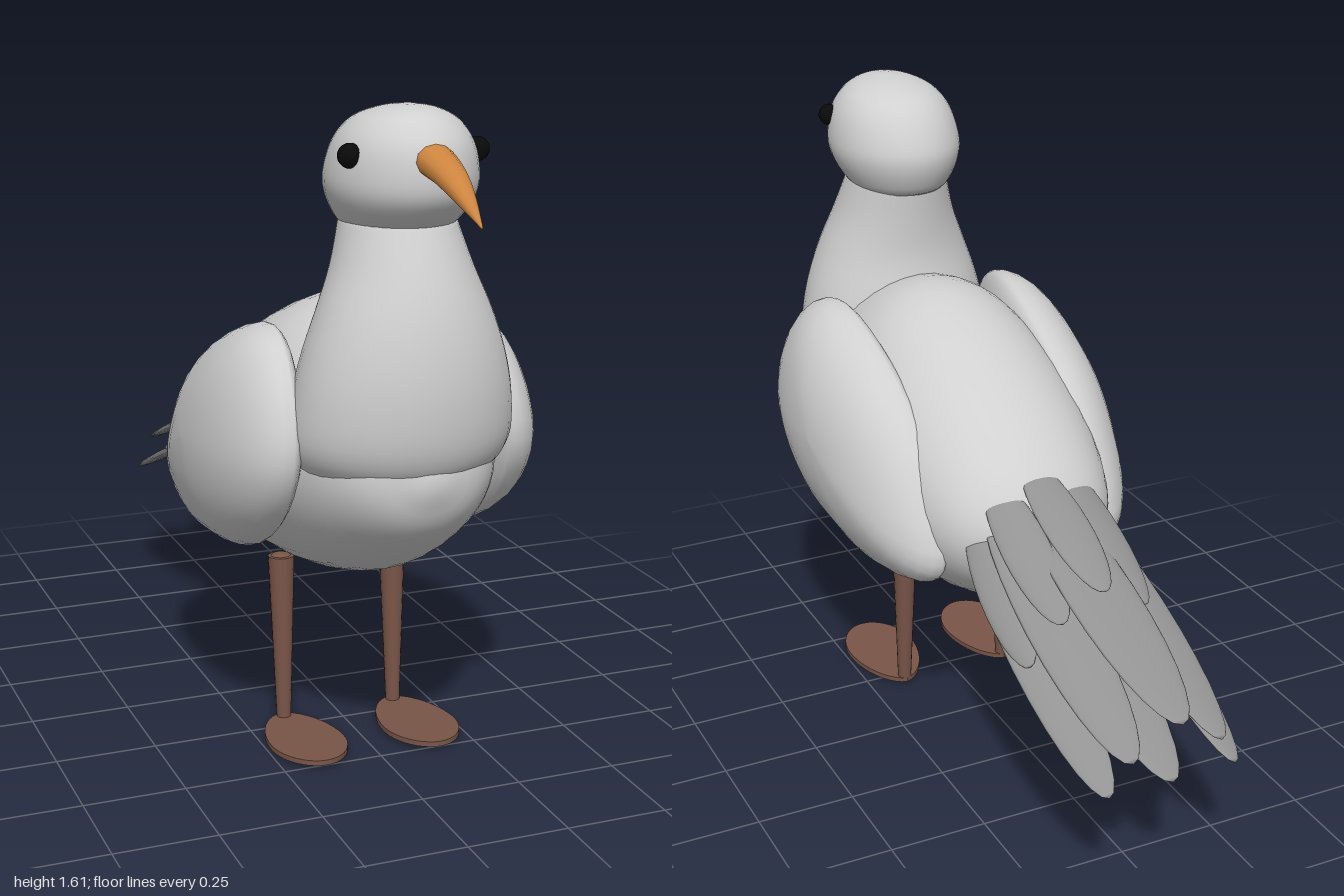
import * as THREE from 'three';

const mat = (name, color) => {
  const m = new THREE.MeshStandardMaterial({ color });
  m.name = name;
  return m;
};

// Smooth closed skin: fn(u, v) gives a point, v wraps around the ring
function skin(fn, nu, nv) {
  const pos = [], idx = [];
  for (let i = 0; i <= nu; i++) {
    for (let j = 0; j < nv; j++) pos.push(...fn(i / nu, j / nv));
  }
  for (let i = 0; i < nu; i++) {
    for (let j = 0; j < nv; j++) {
      const k = (j + 1) % nv;
      const a = i * nv + j, b = i * nv + k, c = a + nv, d = b + nv;
      idx.push(a, c, b, b, c, d);
    }
  }
  const g = new THREE.BufferGeometry();
  g.setAttribute('position', new THREE.Float32BufferAttribute(pos, 3));
  g.setIndex(idx);
  g.computeVertexNormals();
  return g;
}

// Elliptical loft along y or z. Rows, in descending order: [position, max, min, halfWidth],
// where max and min bound the section along the other upright axis.
function loft(axis, rows, nu = 28, nv = 32) {
  const spans = new THREE.CatmullRomCurve3(rows.map(r => new THREE.Vector3(r[0], r[1], r[2])), false, 'catmullrom');
  const widths = new THREE.CatmullRomCurve3(rows.map(r => new THREE.Vector3(r[3], 0, 0)), false, 'catmullrom');
  return skin((u, v) => {
    // The first and last rings collapse to a point to close the ends
    const cap = u === 0 || u === 1 ? 0 : 1;
    const t = Math.min(1, Math.max(0, (u * nu - 1) / (nu - 2)));
    const s = spans.getPoint(t), a = v * Math.PI * 2;
    const x = cap * Math.max(0, widths.getPoint(t).x) * Math.cos(a);
    const mid = (s.y + s.z) / 2, h = cap * (s.y - s.z) / 2 * Math.sin(a);
    return axis === 'z' ? [x, mid + h, s.x] : [x, s.x, mid - h];
  }, nu, nv);
}

// Domed wing over a side outline of [z, y] points
function wingGeometry() {
  const outline = new THREE.CatmullRomCurve3([
    [0.38, 1.08], [0.5, 1.05], [0.6, 0.94], [0.63, 0.8], [0.55, 0.66], [0.36, 0.535], [0.15, 0.49],
    [0, 0.48], [-0.19, 0.53], [-0.22, 0.6], [-0.13, 0.79], [0, 0.93], [0.2, 1.035],
  ].map(([z, y]) => new THREE.Vector3(0, y, z)), true);
  return skin((u, v) => {
    const phi = u * Math.PI, r = Math.sin(phi), c = Math.cos(phi);
    const p = outline.getPoint(v);
    const y = 0.78 + (p.y - 0.78) * r, z = 0.21 + (p.z - 0.21) * r;
    const base = 0.245 + (z - 0.2) * 0.07 - (y - 0.78) * 0.06;
    return [base + (c > 0 ? 0.165 : 0.07) * c, y, z];
  }, 20, 40);
}

export function createModel() {
  const group = new THREE.Group();
  const plumage = mat('plumage grey', 0xd0d0d0);
  const tailGrey = mat('tail grey', 0x939393);
  const orange = mat('beak orange', 0xcd853f);
  const brown = mat('leg brown', 0x795548);
  const black = mat('eye black', 0x0a0a0a);

  const add = (name, geometry, material, x = 0, y = 0, z = 0) => {
    const m = new THREE.Mesh(geometry, material);
    m.name = name;
    m.position.set(x, y, z);
    group.add(m);
    return m;
  };

  // Egg-shaped body
  add('body', loft('z', [
    [0.785, 0.8, 0.75, 0.03], [0.745, 0.91, 0.66, 0.14], [0.65, 1.0, 0.575, 0.215], [0.5, 1.08, 0.485, 0.265],
    [0.3, 1.125, 0.425, 0.29], [0.1, 1.07, 0.4, 0.3], [-0.1, 0.965, 0.41, 0.275], [-0.25, 0.855, 0.475, 0.22],
    [-0.33, 0.77, 0.56, 0.14], [-0.36, 0.7, 0.63, 0.05],
  ], 36, 40), plumage);

  // Neck and breast
  add('neck', loft('y', [
    [1.37, 0.7, 0.41, 0.125], [1.25, 0.755, 0.42, 0.16], [1.15, 0.79, 0.42, 0.2], [1.05, 0.81, 0.4, 0.235],
    [0.95, 0.815, 0.38, 0.257], [0.85, 0.803, 0.35, 0.265], [0.78, 0.765, 0.32, 0.24], [0.72, 0.68, 0.35, 0.17],
  ], 28, 40), plumage);

  // Head
  add('head', loft('y', [
    [1.608, 0.64, 0.6, 0.015], [1.597, 0.695, 0.53, 0.07], [1.57, 0.737, 0.455, 0.12], [1.52, 0.77, 0.405, 0.155],
    [1.45, 0.78, 0.372, 0.17], [1.4, 0.765, 0.372, 0.163], [1.35, 0.715, 0.392, 0.137], [1.33, 0.68, 0.41, 0.115],
  ], 28, 36), plumage);

  // Down-curved beak
  add('beak', loft('z', [
    [1, 1.4, 1.394, 0.002], [0.94, 1.452, 1.416, 0.018], [0.88, 1.493, 1.437, 0.031],
    [0.82, 1.52, 1.455, 0.04], [0.76, 1.538, 1.465, 0.047], [0.7, 1.548, 1.47, 0.05],
  ], 16, 12), orange);

  // Teardrop foot, drawn with its length along +y before being laid flat
  const sole = new THREE.Shape();
  sole.moveTo(0, 0);
  sole.bezierCurveTo(0.05, 0.01, 0.095, 0.1, 0.094, 0.19);
  sole.bezierCurveTo(0.093, 0.26, 0.05, 0.32, 0, 0.32);
  sole.bezierCurveTo(-0.05, 0.32, -0.093, 0.26, -0.094, 0.19);
  sole.bezierCurveTo(-0.095, 0.1, -0.05, 0.01, 0, 0);
  const footGeo = new THREE.ExtrudeGeometry(sole, { depth: 0.013, bevelEnabled: false, curveSegments: 10 });
  footGeo.rotateX(Math.PI / 2);

  const legGeo = new THREE.CylinderGeometry(0.033, 0.018, 0.43, 16);
  const legCapGeo = new THREE.SphereGeometry(0.033, 16, 10);
  const wingGeo = wingGeometry();
  const eyeGeo = new THREE.SphereGeometry(0.028, 14, 10);

  // Paired parts
  for (const s of [1, -1]) {
    const side = s > 0 ? 'left' : 'right';
    add(side + 'Wing', wingGeo, plumage).scale.x = s;
    add(side + 'Eye', eyeGeo, black, s * 0.152, 1.505, 0.65);
    add(side + 'Leg', legGeo, brown, s * 0.15, 0.225, 0.21).rotation.x = -0.04;
    add(side + 'LegTop', legCapGeo, brown, s * 0.15, 0.425, 0.2).scale.y = 0.7;
    add(side + 'Foot', footGeo, brown, s * 0.15, 0.014, 0.2).rotation.x = -0.03;
  }

  // Flattened leaf-shaped feather between two points
  const leaf = new THREE.SphereGeometry(1, 20, 14);
  leaf.rotateX(Math.PI / 2);
  const feather = (name, from, to, width, roll) => {
    const a = new THREE.Vector3(...from), b = new THREE.Vector3(...to);
    const m = add(name, leaf, tailGrey);
    m.position.copy(a).lerp(b, 0.5);
    m.lookAt(b);
    m.rotateZ(roll);
    m.scale.set(width, 0.014, a.distanceTo(b) / 2);
  };

  // Tail: a long fan under a short fan, both arching down to the sides
  feather('longTailFeather', [0, 0.78, -0.22], [0, 0.505, -1], 0.09, 0);
  feather('underTailFeather', [0, 0.64, -0.22], [0, 0.335, -0.97], 0.085, 0);
  feather('shortTailFeather', [0, 0.83, -0.22], [0, 0.66, -0.635], 0.062, 0);
  for (const s of [1, -1]) {
    feather('longTailFeather', [s * 0.1, 0.74, -0.22], [s * 0.115, 0.425, -0.985], 0.08, s * 0.2);
    feather('longTailFeather', [s * 0.15, 0.66, -0.24], [s * 0.165, 0.34, -0.97], 0.068, s * 0.25);
    feather('shortTailFeather', [s * 0.1, 0.8, -0.22], [s * 0.11, 0.6, -0.635], 0.06, s * 0.3);
    feather('shortTailFeather', [s * 0.16, 0.7, -0.24], [s * 0.19, 0.5, -0.625], 0.055, s * 0.6);
  }

  return group;
}
